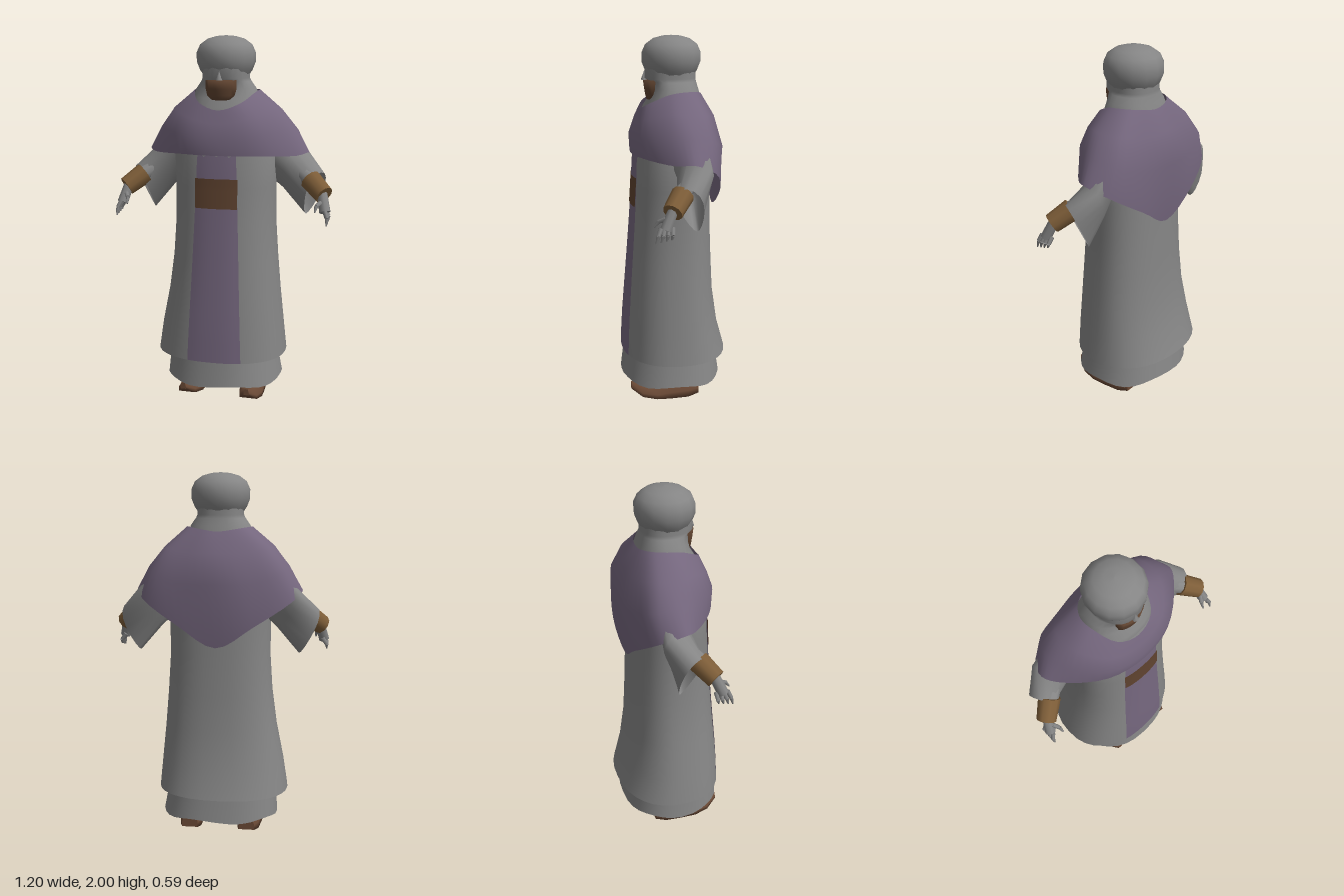
import * as THREE from 'three';

const mat = (name, color) => {
  const m = new THREE.MeshStandardMaterial({ color, side: THREE.DoubleSide });
  m.name = name;
  return m;
};
const V = (x, y, z) => new THREE.Vector3(x, y, z);

// Surface through rows of points; closed rows wrap round, caps fill the end rows
function loft(rows, { closed = true, capStart = false, capEnd = false } = {}) {
  const n = rows[0].length, pos = [], idx = [];
  rows.forEach(r => r.forEach(p => pos.push(p.x, p.y, p.z)));
  for (let i = 0; i < rows.length - 1; i++) {
    for (let j = 0; j < (closed ? n : n - 1); j++) {
      const a = i * n + j, b = i * n + (j + 1) % n;
      idx.push(a, b, b + n, a, b + n, a + n);
    }
  }
  const cap = (row, flip) => {
    const start = pos.length / 3, c = V(0, 0, 0);
    row.forEach(p => { pos.push(p.x, p.y, p.z); c.addScaledVector(p, 1 / n); });
    pos.push(c.x, c.y, c.z);
    for (let j = 0; j < n; j++) {
      const a = start + j, b = start + (j + 1) % n;
      idx.push(...(flip ? [b, a, start + n] : [a, b, start + n]));
    }
  };
  if (capStart) cap(rows[0], true);
  if (capEnd) cap(rows[rows.length - 1], false);
  const g = new THREE.BufferGeometry();
  g.setAttribute('position', new THREE.Float32BufferAttribute(pos, 3));
  g.setIndex(idx);
  g.computeVertexNormals();
  return g;
}

// Horizontal rounded section: [y, centre x, half width, front depth, back depth]
const POWER = 2.3;
const pw = v => Math.sign(v) * Math.abs(v) ** (2 / POWER);
function section([y, cx, w, zf, zb], n = 32) {
  return Array.from({ length: n }, (_, i) => {
    const a = i / n * Math.PI * 2, s = Math.cos(a);
    return V(cx + w * pw(Math.sin(a)), y, (s > 0 ? zf : zb) * pw(s));
  });
}

const ROBE = [
  [0.24, -0.02, 0.365, 0.29, 0.295],
  [0.4, -0.015, 0.345, 0.283, 0.25],
  [0.6, -0.005, 0.315, 0.268, 0.22],
  [0.8, 0, 0.293, 0.252, 0.21],
  [1.0, 0, 0.28, 0.236, 0.203],
  [1.2, 0, 0.28, 0.222, 0.2],
  [1.38, 0, 0.285, 0.215, 0.2],
  [1.48, 0, 0.24, 0.19, 0.19],
  [1.6, 0, 0.18, 0.15, 0.15],
];

// Thin panel that follows the front of the robe
function robePanel(y0, y1, w0, w1, lift) {
  const rows = [];
  for (let i = 0; i <= 12; i++) {
    const t = i / 12, y = y0 + (y1 - y0) * t, w = w0 + (w1 - w0) * t;
    const k = Math.min(ROBE.length - 2, Math.max(0, ROBE.findIndex(r => r[0] > y) - 1));
    const f = (y - ROBE[k][0]) / (ROBE[k + 1][0] - ROBE[k][0]);
    const [, cx, hw, zf] = ROBE[k].map((v, m) => v + (ROBE[k + 1][m] - v) * f);
    rows.push(Array.from({ length: 11 }, (_, j) => {
      const x = w * (j / 5 - 1);
      return V(x, y, zf * (1 - Math.abs((x - cx) / hw) ** POWER) ** (1 / POWER) + lift);
    }));
  }
  return loft(rows, { closed: false });
}

// Tapered limb between two points
function limb(a, b, r0, r1, sides = 10) {
  const d = b.clone().sub(a);
  const g = new THREE.CylinderGeometry(r1, r0, d.length(), sides);
  g.applyQuaternion(new THREE.Quaternion().setFromUnitVectors(V(0, 1, 0), d.normalize()));
  const m = a.clone().add(b).multiplyScalar(0.5);
  return g.translate(m.x, m.y, m.z);
}

export function createModel() {
  const grey = mat('grey cloth', 0x858585);
  const purple = mat('purple cloth', 0x74667d);
  const brown = mat('dark brown', 0x5e422f);
  const tan = mat('tan leather', 0x7d5d38);
  const leather = mat('shoe leather', 0x6b4a36);

  const root = new THREE.Group();
  root.name = 'robedFigure';
  const add = (parent, name, geo, m) => {
    const mesh = new THREE.Mesh(geo, m);
    mesh.name = name;
    parent.add(mesh);
    return mesh;
  };

  // Long robe with front panel, belt plate and closed hem
  add(root, 'robe', loft(ROBE.map(r => section(r))), grey);
  add(root, 'robeHem', loft([section(ROBE[0]), section([0.25, -0.01, 0.295, 0.272, 0.232])]), grey);
  add(root, 'frontPanel', robePanel(0.242, 1.42, 0.15, 0.105, 0.004), purple);
  add(root, 'beltPlate', robePanel(1.09, 1.25, 0.117, 0.117, 0.008), brown);

  // Underskirt with a slightly wavy hem, closed below by the lining
  const hem = section([0.1, -0.003, 0.325, 0.298, 0.26]);
  hem.forEach((p, i) => { p.y += 0.008 * Math.sin(i / 32 * Math.PI * 10); });
  const skirtTop = section([0.27, -0.01, 0.3, 0.275, 0.235]);
  add(root, 'underskirt', loft([hem, skirtTop]), grey);
  const liningTop = hem.map(p => V(p.x * 0.5, 0.115, p.z * 0.5));
  add(root, 'skirtLining', loft([hem, liningTop], { capEnd: true }), purple);

  // Shawl: columns from the front round to the back, each from neck to hem
  const cols = [
    [0, 1.61, 0.182, 0, 1.54, 0.21, 0, 1.46, 0.236, 0, 1.375, 0.232],
    [0.11, 1.645, 0.15, 0.17, 1.57, 0.175, 0.2, 1.48, 0.2, 0.21, 1.375, 0.19],
    [0.17, 1.7, 0.035, 0.28, 1.61, 0.05, 0.345, 1.5, 0.06, 0.4, 1.365, 0.04],
    [0.178, 1.712, -0.04, 0.3, 1.605, -0.05, 0.385, 1.5, -0.06, 0.455, 1.375, -0.05],
    [0.145, 1.71, -0.1, 0.27, 1.6, -0.14, 0.35, 1.47, -0.175, 0.4, 1.32, -0.165],
    [0.08, 1.7, -0.14, 0.15, 1.58, -0.2, 0.19, 1.42, -0.24, 0.2, 1.19, -0.23],
    [0, 1.69, -0.15, 0, 1.58, -0.22, 0, 1.42, -0.27, 0, 1.075, -0.225],
  ];
  const shawlRows = [0, 3, 6, 9].map(k => {
    const half = cols.map(c => V(c[k], c[k + 1], c[k + 2]));
    const other = half.slice(1, -1).reverse().map(p => V(-p.x, p.y, p.z));
    return new THREE.CatmullRomCurve3([...half, ...other], true).getPoints(48).slice(0, -1);
  });
  add(root, 'shawl', loft(shawlRows), purple);

  // Head: hood, beard, nose and turban
  const head = new THREE.Group();
  head.name = 'head';
  root.add(head);
  add(head, 'hood', loft([
    [1.58, 0, 0.2, 0.165, 0.17], [1.62, 0, 0.195, 0.16, 0.165], [1.67, 0, 0.183, 0.128, 0.153],
    [1.72, 0, 0.162, 0.116, 0.138], [1.758, 0, 0.134, 0.122, 0.127],
    [1.775, 0, 0.126, 0.152, 0.125], [1.85, 0, 0.13, 0.148, 0.125],
  ].map(r => section(r, 24))), grey);
  // Beard: [y, half width, front z], bowed back at the sides, tucked in at the ends
  const beardRows = [[1.772, 0.083, 0.1], [1.764, 0.083, 0.158], [1.72, 0.083, 0.152],
    [1.685, 0.075, 0.146], [1.662, 0.05, 0.139], [1.65, 0.03, 0.12]].map(([y, w, z]) => [
    V(-w, y, 0.05), ...Array.from({ length: 9 }, (_, j) => {
      const x = w * (j / 4 - 1);
      return V(x, y, z - 4.5 * x * x);
    }), V(w, y, 0.05)]);
  add(head, 'beard', loft(beardRows, { closed: false }), brown);
  const nose = add(head, 'nose', new THREE.ConeGeometry(0.018, 0.05, 6), grey);
  nose.position.set(0, 1.79, 0.152);
  const turban = [[0.11, 1.77], [0.142, 1.815], [0.16, 1.86], [0.16, 1.91], [0.141, 1.952],
    [0.1, 1.982], [0.05, 1.996], [0, 2]].map(p => new THREE.Vector2(...p));
  add(head, 'turban', new THREE.LatheGeometry(turban, 14), grey).position.z = 0.005;

  // Arms: hanging sleeve with a pointed lower edge, cuff, hand
  const sleeve = [
    [V(0.28, 1.54, -0.04), V(0.23, 1.25, -0.04), 0.13],
    [V(0.42, 1.385, -0.06), V(0.32, 1.17, -0.06), 0.11],
    [V(0.53, 1.275, 0.01), V(0.44, 1.03, -0.06), 0.08],
  ].map(([top, bottom, depth]) => {
    const mid = top.clone().add(bottom).multiplyScalar(0.5), up = top.clone().sub(mid);
    return Array.from({ length: 16 }, (_, i) => {
      const a = i / 8 * Math.PI, c = Math.cos(a);
      return mid.clone().addScaledVector(up, c)
        .addScaledVector(V(-0.5, 0, 0.86), depth * Math.sin(a) * (0.85 + 0.35 * c));
    });
  });
  // Each finger: knuckle, middle joint, tip
  const fingers = [0, 1, 2, 3].map(i => [
    V(0.573 - i * 0.003, 1.09, 0.145 - i * 0.02),
    V(0.588, 1.055, 0.16 - i * 0.024), V(0.588, 1.015 + i * 0.006, 0.172 - i * 0.026)]);
  fingers.push([V(0.548, 1.13, 0.12), V(0.53, 1.115, 0.15), V(0.525, 1.085, 0.174)]);

  for (const side of [1, -1]) {
    const arm = new THREE.Group();
    arm.name = side > 0 ? 'leftArm' : 'rightArm';
    arm.scale.x = side;
    root.add(arm);
    add(arm, 'sleeve', loft(sleeve), grey);
    add(arm, 'forearm', limb(V(0.38, 1.29, -0.04), V(0.48, 1.23, 0.03), 0.045, 0.045), grey);
    add(arm, 'cuff', limb(V(0.475, 1.235, 0.02), V(0.56, 1.165, 0.085), 0.06, 0.053), tan);
    add(arm, 'palm', limb(V(0.548, 1.175, 0.08), V(0.572, 1.08, 0.122), 0.028, 0.03, 8), grey);
    fingers.forEach(([a, b, c], i) => {
      const name = i < 4 ? 'finger' : 'thumb';
      add(arm, name + 'Base', limb(a, b, 0.013, 0.011, 6), grey);
      add(arm, name + 'Tip', limb(b, c, 0.011, 0.004, 6), grey);
    });

    // Shoe with upturned toe: [z, half width, bottom, top]
    const shoe = [[-0.12, 0.045, 0.012, 0.095], [-0.06, 0.06, 0, 0.105], [0.04, 0.064, 0, 0.1],
      [0.12, 0.066, 0.004, 0.075], [0.2, 0.05, 0.018, 0.078], [0.262, 0.015, 0.06, 0.095],
    ].map(([z, w, y0, y1]) => [[-1, 0], [1, 0], [1, 0.35], [0.6, 1], [-0.6, 1], [-1, 0.35]]
      .map(([u, v]) => V(side * (0.168 + z * 0.05) + u * w, y0 + (y1 - y0) * v, z)));
    add(root, side > 0 ? 'leftShoe' : 'rightShoe',
      loft(shoe, { capStart: true, capEnd: true }), leather);
  }
  return root;
}
